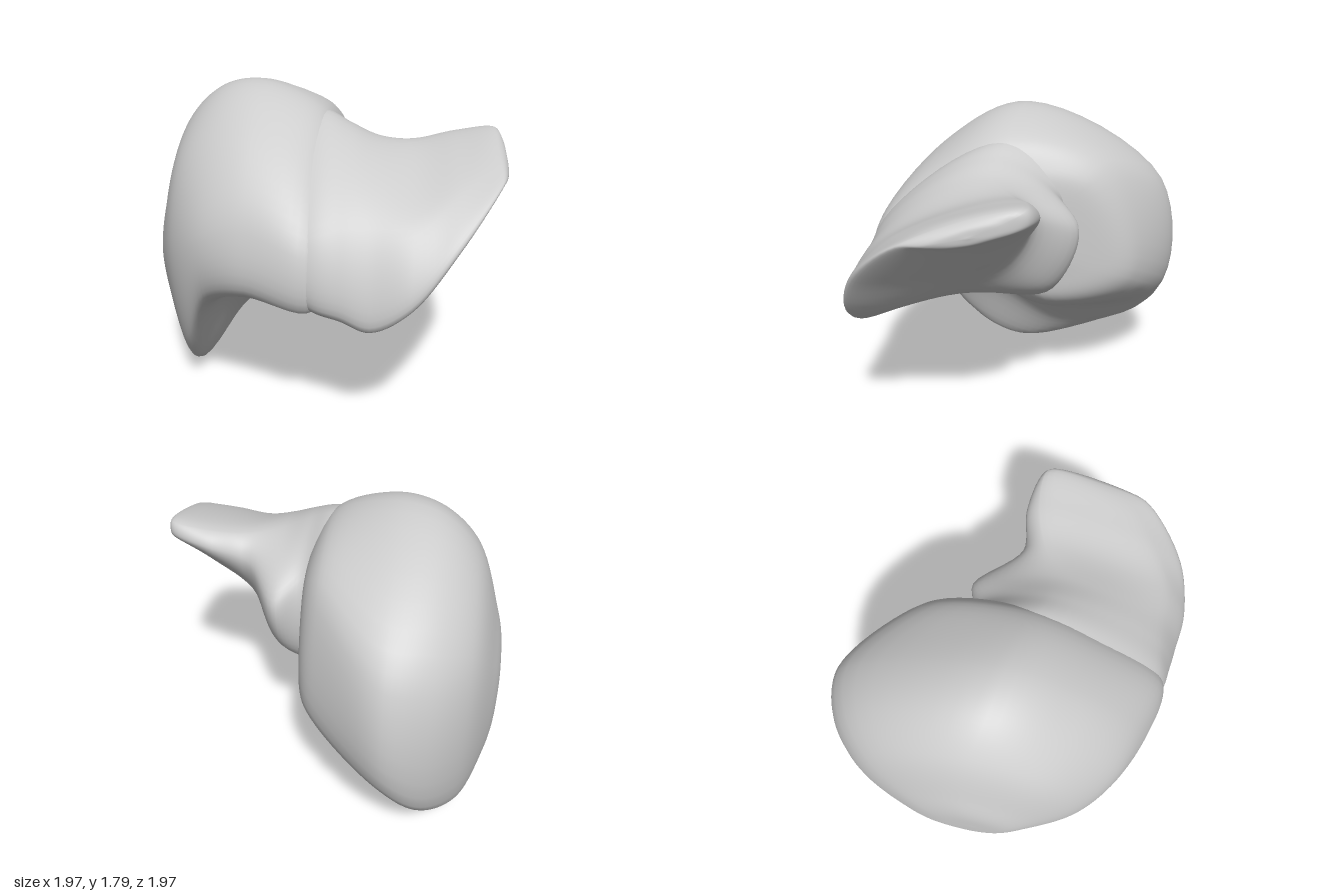
import * as THREE from 'three';
import { mergeVertices } from 'three/addons/utils/BufferGeometryUtils.js';

const AROUND = 64, ALONG = 70;

// Smooth closed loop through [z, y] points in the plane at x
function ring([x, ...pts]) {
  const curve = new THREE.CatmullRomCurve3(pts.map(([z, y]) => new THREE.Vector3(x, y, z)), true, 'centripetal');
  return Array.from({ length: AROUND }, (_, i) => curve.getPoint(i / AROUND));
}

// Copy of a loop shrunk about its middle and moved part of the way to x = tip
function shrink(loop, tip, scale, move) {
  const middle = loop.reduce((sum, p) => sum.add(p), new THREE.Vector3()).divideScalar(AROUND);
  return loop.map((p) => {
    const q = middle.clone().lerp(p, scale);
    q.x += (tip - middle.x) * move;
    return q;
  });
}

// Skin over cross-sections ordered by x, with a rounded cap at each end
function loft(sections, startX, endX) {
  const rings = sections.map(ring);
  const first = rings[0], last = rings[rings.length - 1];
  const loops = [
    shrink(first, startX, 0, 1), shrink(first, startX, 0.6, 0.8), ...rings,
    shrink(last, endX, 0.6, 0.8), shrink(last, endX, 0, 1),
  ];
  const pos = [], index = [], row = ALONG + 1;
  for (let i = 0; i < AROUND; i++) {
    const rail = new THREE.CatmullRomCurve3(loops.map((l) => l[i]), false, 'centripetal');
    for (let j = 0; j <= ALONG; j++) pos.push(...rail.getPoint(j / ALONG).toArray());
    for (let j = 0; j < ALONG; j++) {
      const a = i * row + j, b = ((i + 1) % AROUND) * row + j;
      if (j > 0) index.push(a, b, a + 1);
      if (j < ALONG - 1) index.push(b, b + 1, a + 1);
    }
  }
  const g = new THREE.BufferGeometry();
  g.setAttribute('position', new THREE.Float32BufferAttribute(pos, 3));
  g.setIndex(index);
  const merged = mergeVertices(g, 1e-5);
  merged.computeVertexNormals();
  return merged;
}

export function createModel() {
  const group = new THREE.Group();
  const tissue = new THREE.MeshStandardMaterial({ color: 0xcccccc });
  tissue.name = 'light grey tissue';
  const add = (name, geometry) => {
    const mesh = new THREE.Mesh(geometry, tissue);
    mesh.name = name;
    group.add(mesh);
  };

  // Each loop: top, front upper, front, front margin, two underside points, back low, back upper
  add('rightLobe', loft([
    [-0.93, [-0.1, 1.22], [0.17, 1.1], [0.3, 0.85], [0.22, 0.5], [0.1, 0.33], [-0.1, 0.26], [-0.4, 0.45], [-0.42, 1]],
    [-0.8, [-0.1, 1.57], [0.32, 1.4], [0.55, 0.95], [0.43, 0.35], [0.2, 0.08], [-0.08, 0], [-0.62, 0.28], [-0.66, 1.2]],
    [-0.6, [-0.05, 1.75], [0.42, 1.53], [0.72, 1.1], [0.67, 0.72], [0.2, 0.5], [-0.25, 0.23], [-0.79, 0.32], [-0.82, 1.28]],
    [-0.35, [0, 1.79], [0.45, 1.6], [0.8, 1.2], [0.82, 0.82], [0.25, 0.72], [-0.2, 0.47], [-0.88, 0.56], [-0.86, 1.32]],
    [0, [0.1, 1.66], [0.5, 1.47], [0.88, 1.1], [0.88, 0.77], [0.35, 0.83], [-0.15, 0.62], [-0.68, 0.78], [-0.5, 1.48]],
    [0.1, [0.05, 1.5], [0.4, 1.3], [0.65, 1.1], [0.7, 0.95], [0.25, 0.97], [-0.1, 0.72], [-0.55, 0.86], [-0.36, 1.42]],
  ], -0.99, 0.14));

  // Thin sloping lobe with a hollow underside, its root sunk in the right lobe
  add('leftLobe', loft([
    [-0.2, [0.1, 1.62], [0.77, 1.15], [0.8, 0.92], [0.4, 0.95], [-0.1, 1], [-0.15, 1.45]],
    [0, [0.15, 1.645], [0.85, 1.17], [0.9, 0.79], [0.45, 0.85], [-0.13, 0.78], [-0.2, 1.45]],
    [0.15, [0.2, 1.585], [0.83, 1.21], [0.94, 0.76], [0.5, 0.85], [-0.13, 0.8], [-0.19, 1.35]],
    [0.3, [0.2, 1.52], [0.82, 1.22], [0.97, 0.72], [0.5, 0.86], [-0.12, 0.88], [-0.27, 1.25]],
    [0.5, [0.1, 1.49], [0.82, 1.23], [0.99, 0.85], [0.55, 0.91], [0.1, 1.1], [-0.02, 1.36]],
    [0.72, [0.03, 1.525], [0.65, 1.37], [0.9, 1.13], [0.55, 1.13], [0.15, 1.25], [-0.04, 1.44]],
    [0.93, [0.04, 1.55], [0.45, 1.47], [0.64, 1.38], [0.45, 1.36], [0.2, 1.4], [0.02, 1.48]],
  ], -0.3, 0.98));

  return group;
}
